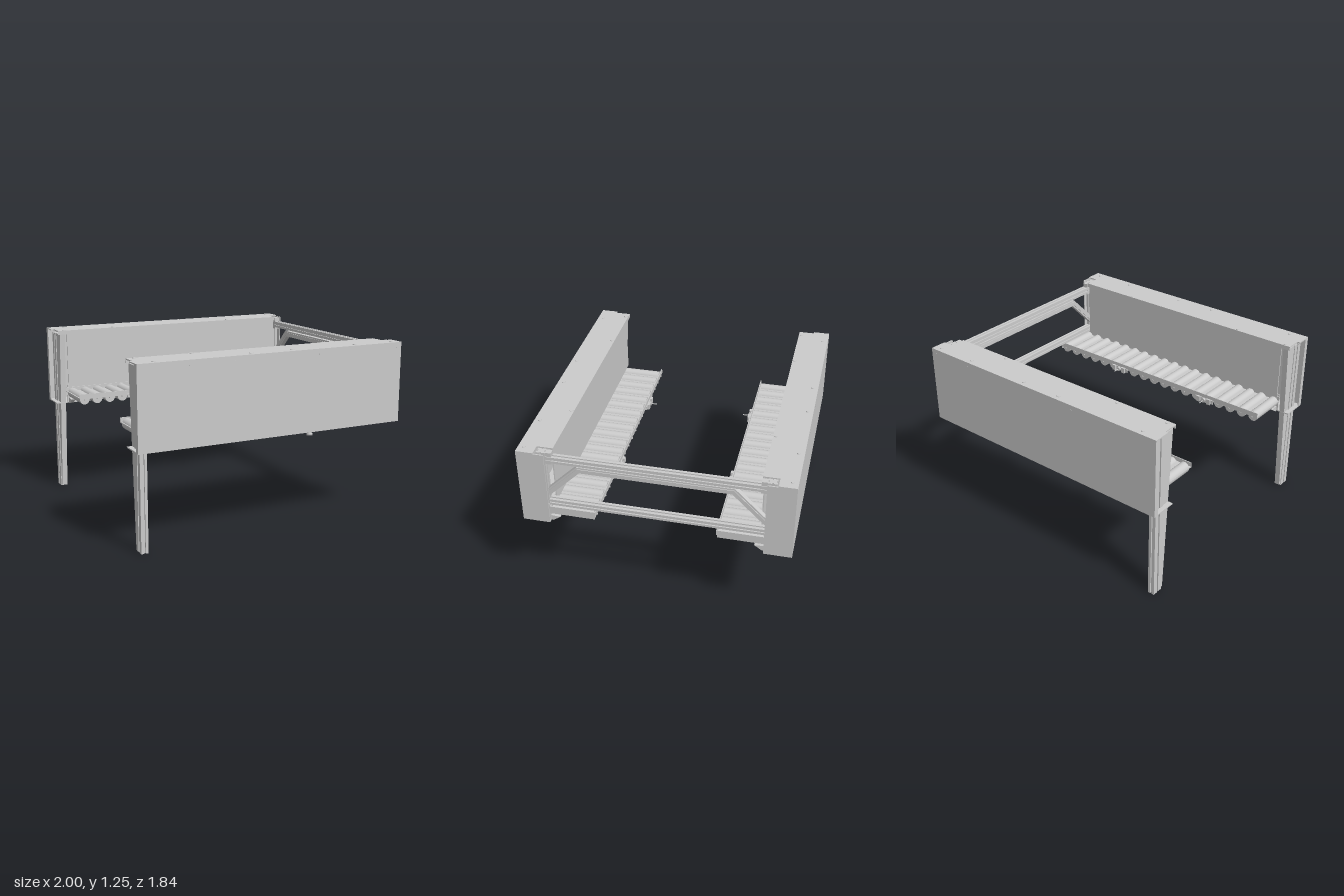
import * as THREE from 'three';

const mat = new THREE.MeshStandardMaterial({ color: 0xcccccc, side: THREE.DoubleSide });

function add(parent, name, geo) {
  const m = new THREE.Mesh(geo, mat);
  m.name = name;
  parent.add(m);
  return m;
}

// box given by its min and max on each axis; z is mirrored by s
function slab(parent, name, x0, x1, y0, y1, z0, z1, s = 1) {
  const g = new THREE.BoxGeometry(x1 - x0, y1 - y0, z1 - z0);
  g.translate((x0 + x1) / 2, (y0 + y1) / 2, s * (z0 + z1) / 2);
  return add(parent, name, g);
}

// outline in [z, y] extruded along x from x0 to x1
function sidePlate(parent, name, pts, x0, x1, s = 1) {
  const shape = new THREE.Shape(pts.map(([z, y]) => new THREE.Vector2(z * s, y)));
  const g = new THREE.ExtrudeGeometry(shape, { depth: x1 - x0, bevelEnabled: false });
  g.rotateY(-Math.PI / 2).translate(x1, 0, 0);
  return add(parent, name, g);
}

// slotted aluminium bar, w by h, centred along z, with a groove in every side
function slottedBar(w, h, len, g = 0.005, d = 0.009) {
  const a = w / 2, b = h / 2;
  const pts = [
    [-a, -b], [-g, -b], [-g, d - b], [g, d - b], [g, -b], [a, -b],
    [a, -g], [a - d, -g], [a - d, g], [a, g], [a, b],
    [g, b], [g, b - d], [-g, b - d], [-g, b], [-a, b],
    [-a, g], [d - a, g], [d - a, -g], [-a, -g],
  ].map(p => new THREE.Vector2(...p));
  const geo = new THREE.ExtrudeGeometry(new THREE.Shape(pts), { depth: len, bevelEnabled: false });
  return geo.translate(0, 0, -len / 2);
}

function buildCabinet(s) {
  const c = new THREE.Group();
  c.name = s > 0 ? 'frontCabinet' : 'backCabinet';
  const t = 0.008;

  // sheet-metal housing, open at the leg end
  slab(c, 'outerPanel', -1, 1, 0.68, 1.25, 0.92 - t, 0.92, s);
  slab(c, 'topPanel', -1, 1, 1.25 - t, 1.25, 0.8, 0.92 - t, s);
  slab(c, 'topInnerPanel', -0.98, 0.92, 1.25 - t, 1.25, 0.69, 0.8, s);
  slab(c, 'topLip', -0.98, 0.92, 1.22, 1.25 - t, 0.69, 0.695, s);
  slab(c, 'bottomPanel', -1, 1, 0.68, 0.68 + t, 0.73, 0.92 - t, s);
  slab(c, 'endPanel', 1 - t, 1, 0.68 + t, 1.25 - t, 0.73, 0.92 - t, s);
  slab(c, 'innerPanel', -0.91, 0.91, 0.81, 1.25 - t, 0.698, 0.706, s);
  slab(c, 'innerLowerPanel', -0.91, 0.98, 0.68 + t, 0.82, 0.73, 0.738, s);
  slab(c, 'outerEndFlange', -1, -1 + t, 0.68 + t, 1.25 - t, 0.885, 0.92 - t, s);

  // post carrying the cross frame
  const post = slottedBar(0.05, 0.06, 0.55).rotateX(Math.PI / 2);
  add(c, 'framePost', post.translate(0.945, 0.965, s * 0.76));
  slab(c, 'frameBracket', 0.925, 0.965, 1.15, 1.24, 0.69, 0.73, s);

  // screws on the top and rivets on the outer face
  const screws = [[-0.87, 0.88], [-0.18, 0.88], [0.13, 0.88], [0.63, 0.88], [0.94, 0.88],
    [-0.93, 0.71], [-0.53, 0.71], [0.47, 0.71]];
  for (const [x, z] of screws)
    add(c, 'topScrew', new THREE.CylinderGeometry(0.012, 0.014, 0.008, 12).translate(x, 1.251, s * z));
  for (let i = -2; i <= 3; i++)
    add(c, 'rivet', new THREE.CylinderGeometry(0.004, 0.004, 0.003, 8)
      .rotateX(Math.PI / 2).translate(i * 0.32, 1.215, s * 0.92));

  // cable gland below
  const gland = [[0, 0], [0.022, 0], [0.022, 0.012], [0.014, 0.018], [0.014, 0.035], [0.02, 0.038], [0.02, 0.052]]
    .map(p => new THREE.Vector2(...p));
  add(c, 'cableGland', new THREE.LatheGeometry(gland, 12).translate(0.32, 0.632, s * 0.82));

  // leg: slotted bar with a tapering web running up inside the housing
  const leg = new THREE.Group();
  leg.name = 'leg';
  c.add(leg);
  add(leg, 'legBar', slottedBar(0.05, 0.08, 1.22, 0.006, 0.01)
    .rotateX(Math.PI / 2).translate(-0.945, 0.61, s * 0.83));
  sidePlate(leg, 'legWeb', [[0.79, 0.01], [0.772, 0.01], [0.7, 1.22], [0.79, 1.22]], -0.965, -0.925, s);

  // gussets under the tray
  for (const x of [-0.9, 0.94])
    sidePlate(c, 'gusset', [[0.735, 0.68], [0.715, 0.68], [0.665, 0.715], [0.735, 0.72]], x, x + 0.03, s);
  return c;
}

function buildTray(s) {
  const g = new THREE.Group();
  g.name = s > 0 ? 'frontRollerTray' : 'backRollerTray';
  slab(g, 'trayPlate', -0.92, 0.98, 0.768, 0.774, 0.418, 0.73, s);
  slab(g, 'innerRail', -0.92, 0.98, 0.765, 0.803, 0.412, 0.418, s);
  slab(g, 'outerRail', -0.92, 0.98, 0.765, 0.803, 0.722, 0.73, s);
  slab(g, 'trayEnd', 0.974, 0.98, 0.745, 0.803, 0.418, 0.73, s);

  // rollers with their axles
  const n = 19;
  for (let i = 0; i < n; i++) {
    const x = -0.875 + i * 1.81 / (n - 1);
    add(g, 'roller', new THREE.CylinderGeometry(0.038, 0.038, 0.29, 20)
      .rotateX(Math.PI / 2).translate(x, 0.76, s * 0.572));
    add(g, 'axle', new THREE.CylinderGeometry(0.008, 0.008, 0.32, 8)
      .rotateX(Math.PI / 2).translate(x, 0.76, s * 0.57));
  }

  // sensor holders on the inner rail
  for (const x of [-0.46, 0.355]) {
    slab(g, 'holderPlate', x - 0.08, x + 0.08, 0.745, 0.775, 0.405, 0.412, s);
    for (const dx of [-0.045, 0.045])
      slab(g, 'holderBlock', x + dx - 0.015, x + dx + 0.015, 0.74, 0.782, 0.39, 0.406, s);
    add(g, 'holderNut', new THREE.CylinderGeometry(0.018, 0.018, 0.02, 6)
      .rotateX(Math.PI / 2).translate(x, 0.76, s * 0.398));
    add(g, 'pin', new THREE.CylinderGeometry(0.004, 0.004, 0.06, 8)
      .rotateX(Math.PI / 2).translate(x, 0.76, s * 0.375));
  }
  return g;
}

function buildCrossFrame() {
  const f = new THREE.Group();
  f.name = 'crossFrame';
  add(f, 'upperBeam', slottedBar(0.05, 0.047, 1.47).translate(0.945, 1.187, 0));
  add(f, 'lowerBeam', slottedBar(0.05, 0.045, 1.47).translate(0.945, 0.835, 0));

  // arched brace, with a raised rib along both faces
  const arch = (zo, yo, zi, yi, ends) => {
    const half = [[0.735, ends[0]], [zo, yo]], inner = [[zi, yi], [0.735, ends[1]]];
    const flip = a => a.map(([z, y]) => [-z, y]).reverse();
    return [...half, ...flip(half), ...flip(inner), ...inner];
  };
  sidePlate(f, 'brace', arch(0.525, 1.152, 0.508, 1.107, [0.942, 0.88]), 0.927, 0.963);
  for (const x of [0.922, 0.963])
    sidePlate(f, 'braceRib', arch(0.52, 1.14, 0.513, 1.119, [0.925, 0.897]), x, x + 0.005);
  return f;
}

export function createModel() {
  const model = new THREE.Group();
  model.name = 'rollerConveyorStation';
  for (const s of [1, -1]) model.add(buildCabinet(s), buildTray(s));
  model.add(buildCrossFrame());
  return model;
}
